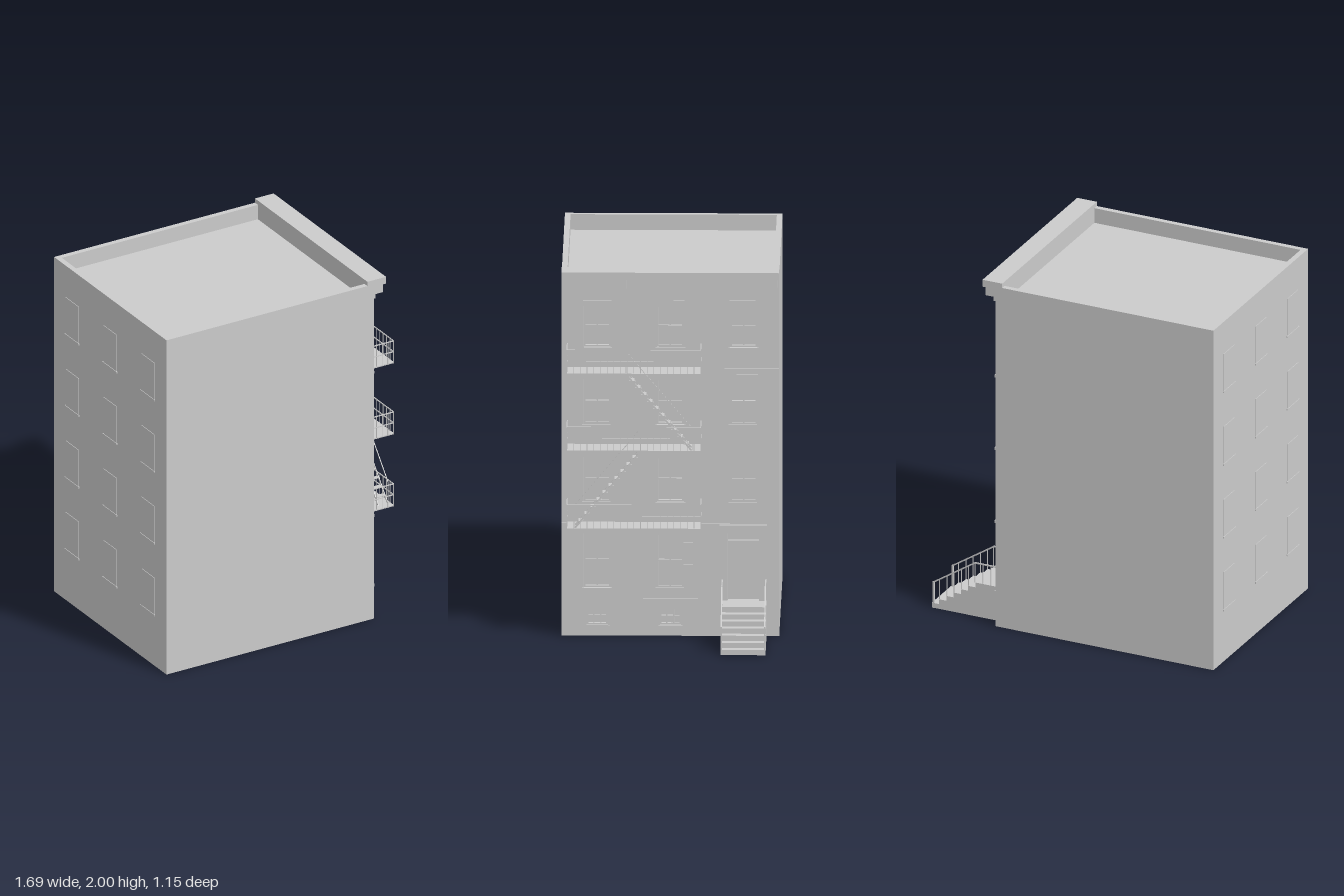
import * as THREE from 'three';

const stone = new THREE.MeshStandardMaterial({ color: 0xcccccc });
stone.name = 'light grey';

// Built with the street facade towards local +z, then turned to face +x.
export function createModel() {
  const model = new THREE.Group();
  model.name = 'townhouse';
  const group = (name) => {
    const g = new THREE.Group();
    g.name = name;
    model.add(g);
    return g;
  };
  // Box given by its limits
  const box = (parent, name, x0, x1, y0, y1, z0, z1) => {
    const m = new THREE.Mesh(new THREE.BoxGeometry(x1 - x0, y1 - y0, z1 - z0), stone);
    m.position.set((x0 + x1) / 2, (y0 + y1) / 2, (z0 + z1) / 2);
    m.name = name;
    parent.add(m);
    return m;
  };
  // Square bar between two points
  const bar = (parent, name, a, b, t = 0.004, d = t) => {
    const p = new THREE.Vector3(...a), q = new THREE.Vector3(...b);
    const m = new THREE.Mesh(new THREE.BoxGeometry(t, d, p.distanceTo(q)), stone);
    m.position.copy(p).add(q).multiplyScalar(0.5);
    m.lookAt(q);
    m.name = name;
    parent.add(m);
  };

  const W = 0.575, F = 0.44, B = -0.84, G = 0.415, TOP = 1.975, ROOF = 1.89;

  // Main block, roof and parapet
  const body = group('building');
  box(body, 'mainBlock', -W, W, 0, ROOF, B, G);
  box(body, 'rearParapet', -W, W, ROOF, TOP, B, B + 0.03);
  box(body, 'frontParapet', -W, W, ROOF, TOP, 0.4, F);
  for (const s of [-1, 1]) {
    const a = s * W, b = s * (W - 0.03);
    box(body, 'sideParapet', Math.min(a, b), Math.max(a, b), ROOF, TOP, B + 0.03, 0.4);
  }

  // Window openings: centre, half width, bottom, top, panes across
  const openings = [];
  for (const x of [-0.387, 0, 0.387]) {
    for (const [y0, y1] of [[1.575, 1.8], [1.153, 1.4], [0.73, 0.975]]) openings.push([x, 0.071, y0, y1, 2]);
    if (x < 0.1) {
      openings.push([x, 0.071, 0.262, 0.557, 2]);
      openings.push([x, 0.056, 0.058, 0.15, 3]);
    }
  }
  const door = [0.385, 0.082, 0.196, 0.567];

  // Front wall with openings
  const rect = (path, x0, x1, y0, y1) =>
    path.moveTo(x0, y0).lineTo(x1, y0).lineTo(x1, y1).lineTo(x0, y1).closePath();
  const wallShape = new THREE.Shape();
  rect(wallShape, -W, W, 0, ROOF);
  for (const [x, h, y0, y1] of [...openings, door]) {
    const hole = new THREE.Path();
    rect(hole, x - h, x + h, y0, y1);
    wallShape.holes.push(hole);
  }
  const wall = new THREE.Mesh(
    new THREE.ExtrudeGeometry(wallShape, { depth: F - G, bevelEnabled: false }), stone);
  wall.position.z = G;
  wall.name = 'frontWall';
  body.add(wall);

  // Window frames, glazing bars, sills and lintels
  const windows = group('frontWindows');
  for (const [x, h, y0, y1, n] of openings) {
    const f = 0.009, z1 = F - 0.008;
    box(windows, 'frameSide', x - h, x - h + f, y0, y1, G, z1);
    box(windows, 'frameSide', x + h - f, x + h, y0, y1, G, z1);
    box(windows, 'frameTop', x - h, x + h, y1 - f, y1, G, z1);
    box(windows, 'frameBottom', x - h, x + h, y0, y0 + f, G, z1);
    const ym = (y0 + y1) / 2;
    box(windows, 'meetingRail', x - h, x + h, ym - 0.004, ym + 0.004, G, z1 - 0.004);
    for (let i = 1; i < n; i++) {
      const xm = x - h + (2 * h * i) / n;
      box(windows, 'glazingBar', xm - 0.004, xm + 0.004, y0, y1, G, z1 - 0.005);
    }
    box(windows, 'sill', x - h - 0.008, x + h + 0.008, y0 - 0.01, y0, F - 0.01, F + 0.008);
    if (n === 2) box(windows, 'lintel', x - h - 0.004, x + h + 0.004, y1, y1 + 0.03, F - 0.01, F + 0.006);
  }

  // Shallow rear windows
  const rear = group('rearWindows');
  for (const x of [-0.387, 0, 0.387]) {
    for (let i = 0; i < 4; i++) {
      const y = 0.305 + 0.4233 * i;
      box(rear, 'rearWindow', x - 0.066, x + 0.066, y, y + 0.215, B - 0.003, B + 0.01);
      box(rear, 'rearSill', x - 0.073, x + 0.073, y - 0.01, y, B - 0.006, B + 0.01);
    }
  }

  // Belt courses
  const bands = group('beltCourses');
  for (const y of [0.615, 1.04, 1.462]) box(bands, 'belt', -W, W, y - 0.015, y, F - 0.01, F + 0.004);
  box(bands, 'waterTable', -W, 0.265, 0.19, 0.205, F - 0.01, F + 0.004);
  box(bands, 'waterTable', 0.505, W, 0.19, 0.205, F - 0.01, F + 0.004);

  // Cornice with brackets
  const cornice = group('cornice');
  box(cornice, 'corniceSlab', -W, W, 1.96, 2, 0.4, 0.515);
  box(cornice, 'frieze', -W, W, 1.89, 1.96, F - 0.02, 0.45);
  for (let i = 0; i < 8; i++) {
    const x = -0.558 + 0.1595 * i;
    box(cornice, 'bracket', x - 0.009, x + 0.009, 1.91, 1.96, F, 0.5);
  }

  // Entrance
  const entry = group('entrance');
  const [dx, dh, d0, d1] = door;
  for (const s of [-1, 1]) {
    const c = dx + s * 0.101;
    box(entry, 'pilaster', c - 0.019, c + 0.019, 0.19, d1, F - 0.01, 0.455);
  }
  box(entry, 'hood', dx - 0.126, dx + 0.126, d1, 0.61, F - 0.01, 0.468);
  box(entry, 'transomBar', dx - dh, dx + dh, 0.511, 0.519, G, F - 0.008);

  // Stoop as one stepped profile
  const stoop = group('stoop');
  const run = 0.0425, rise = 0.028, x0 = 0.27, x1 = 0.508;
  const profile = new THREE.Shape();
  profile.moveTo(-F, 0).lineTo(-0.845, 0);
  for (let i = 0; i < 7; i++) {
    profile.lineTo(-0.845 + run * i, rise * (i + 1));
    profile.lineTo(i < 6 ? -0.845 + run * (i + 1) : -F, rise * (i + 1));
  }
  profile.closePath();
  const steps = new THREE.Mesh(
    new THREE.ExtrudeGeometry(profile, { depth: x1 - x0, bevelEnabled: false }), stone);
  steps.rotation.y = Math.PI / 2;
  steps.position.x = x0;
  steps.name = 'steps';
  stoop.add(steps);

  // Stoop railings
  for (const x of [x0 + 0.004, x1 - 0.004]) {
    bar(stoop, 'levelRail', [x, 0.308, F], [x, 0.308, 0.595], 0.007);
    bar(stoop, 'slopedRail', [x, 0.308, 0.593], [x, 0.147, 0.838], 0.007);
    box(stoop, 'newel', x - 0.005, x + 0.005, 0, 0.152, 0.831, 0.841);
    for (const z of [0.455, 0.5, 0.548, 0.595]) bar(stoop, 'baluster', [x, 0.195, z], [x, 0.308, z]);
    for (let i = 1; i < 6; i++) {
      const z = 0.59 + run * (i - 0.5) + 0.02;
      bar(stoop, 'baluster', [x, 0.196 - rise * i, z], [x, 0.308 - (z - 0.593) * 0.657, z]);
    }
  }

  // Fire escape balconies
  const escape = group('fireEscape');
  const L = -0.545, R = 0.162, Z = 0.579, floors = [0.615, 1.04, 1.46];
  for (const y of floors) {
    box(escape, 'platform', L, R, y, y + 0.006, F, Z + 0.003);
    for (const h of [0.068, 0.132]) {
      bar(escape, 'frontRail', [L, y + h, Z], [R, y + h, Z], 0.005);
      for (const x of [L, R]) bar(escape, 'endRail', [x, y + h, F], [x, y + h, Z], 0.005);
    }
    for (let i = 0; i <= 20; i++) {
      const x = L + ((R - L) * i) / 20;
      bar(escape, 'railBar', [x, y, Z], [x, y + 0.132, Z], 0.003);
    }
    for (const x of [L, R]) {
      for (const z of [0.445, 0.475, 0.51, 0.545]) bar(escape, 'endBar', [x, y, z], [x, y + 0.132, z], 0.003);
    }
  }

  // Fire escape stairs: top x, bottom x, top y, bottom y
  for (const [xa, xb, ya, yb] of [[-0.233, 0.117, 1.46, 1.04], [-0.154, -0.504, 1.04, 0.618]]) {
    for (const z of [0.51, 0.568]) bar(escape, 'stringer', [xa, ya, z], [xb, yb, z], 0.004, 0.009);
    bar(escape, 'handrail', [xa, ya + 0.124, 0.57], [xb, yb + 0.124, 0.57], 0.004);
    for (const [x, y] of [[xa, ya], [xb, yb]]) bar(escape, 'handrailPost', [x, y, 0.57], [x, y + 0.124, 0.57], 0.003);
    for (let i = 1; i < 11; i++) {
      const t = i / 11, x = xa + (xb - xa) * t, y = ya + (yb - ya) * t;
      box(escape, 'tread', x - 0.013, x + 0.013, y - 0.002, y + 0.002, 0.51, 0.568);
    }
  }

  // Drop ladder
  for (const x of [0.068, 0.122]) bar(escape, 'ladderRail', [x, 0.308, 0.543], [x, 0.615, 0.543], 0.005);
  for (let i = 0; i < 7; i++) {
    const y = 0.335 + 0.04 * i;
    bar(escape, 'rung', [0.068, y, 0.543], [0.122, y, 0.543], 0.004);
  }

  model.rotation.y = Math.PI / 2;
  const root = new THREE.Group();
  root.name = 'townhouseModel';
  root.add(model);
  return root;
}
